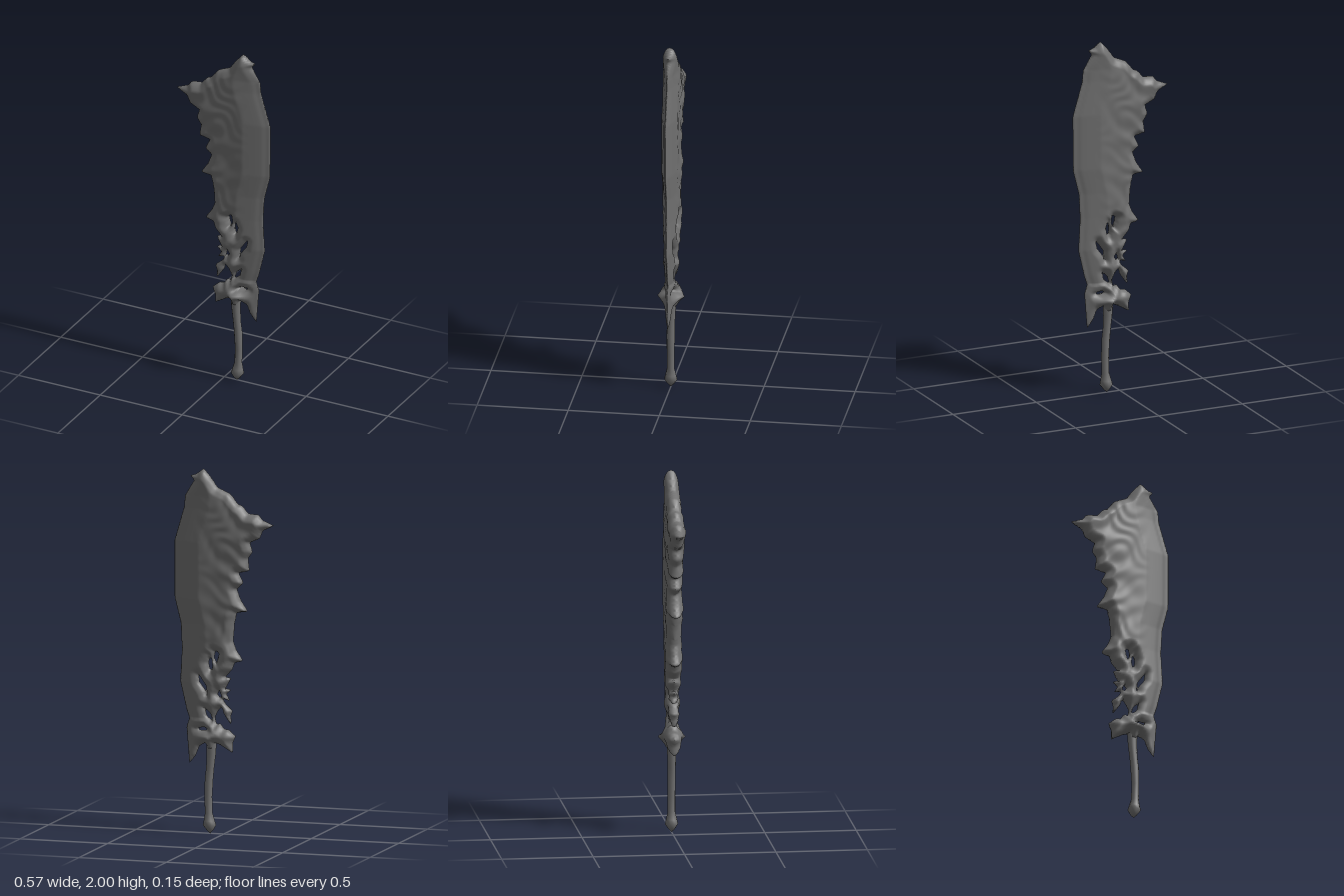
import * as THREE from 'three';
import { mergeVertices } from 'three/addons/utils/BufferGeometryUtils.js';

// Smooth cutting edge, from the tip down to the guard
const cuttingEdge = [[0.115, 2.005], [0.155, 1.975], [0.192, 1.962], [0.168, 1.94], [0.22, 1.855], [0.226, 1.79],
  [0.282, 1.6], [0.28, 1.29], [0.245, 1.15], [0.238, 1.01], [0.248, 0.83], [0.213, 0.68], [0.196, 0.63]];

// Guard with its hanging points, right to left
const guardEdge = [[0.212, 0.58], [0.204, 0.48], [0.196, 0.38], [0.16, 0.425], [0.138, 0.48], [0.1, 0.5], [0.09, 0.46],
  [0.055, 0.46], [0.045, 0.5], [0.01, 0.485], [-0.052, 0.448], [-0.05, 0.5], [-0.068, 0.54], [-0.03, 0.575],
  [0.0, 0.578], [0.02, 0.61], [0.04, 0.6], [0.05, 0.64], [0.03, 0.68], [0.01, 0.7]];

// Torn edge, from the guard up to the tip
const tornEdge = [[0.0, 0.665], [-0.045, 0.6], [-0.04, 0.65], [-0.052, 0.68], [-0.01, 0.715], [0.005, 0.745],
  [-0.035, 0.735], [-0.015, 0.77], [-0.048, 0.8], [-0.01, 0.8], [-0.042, 0.86], [-0.012, 0.865], [-0.05, 0.91],
  [-0.062, 0.945], [-0.112, 0.958], [-0.075, 1.01], [-0.055, 1.06], [-0.06, 1.15], [-0.075, 1.222], [-0.138, 1.23],
  [-0.098, 1.29], [-0.075, 1.35], [-0.112, 1.385], [-0.085, 1.44], [-0.148, 1.455], [-0.138, 1.52], [-0.165, 1.56],
  [-0.148, 1.61], [-0.205, 1.635], [-0.225, 1.68], [-0.288, 1.71], [-0.22, 1.738], [-0.2, 1.765], [-0.14, 1.77],
  [-0.105, 1.81], [-0.08, 1.82], [-0.035, 1.875], [0.035, 1.905], [0.07, 1.955]];

// Holes worn through the lower blade
const holes = [
  [[0.025, 0.995], [0.048, 1.008], [0.054, 0.965], [0.04, 0.94]],
  [[0.072, 0.98], [0.087, 0.94], [0.074, 0.89], [0.063, 0.92]],
  [[0.143, 0.872], [0.138, 0.83], [0.107, 0.79], [0.095, 0.76], [0.098, 0.81], [0.12, 0.84]],
  [[0.022, 0.79], [0.036, 0.77], [0.02, 0.745], [0.012, 0.76]],
  [[0.064, 0.62], [0.074, 0.66], [0.108, 0.692], [0.095, 0.645]],
  [[0.085, 0.57], [0.11, 0.585], [0.16, 0.572], [0.12, 0.565]],
];
const loops = [[...cuttingEdge, ...guardEdge, ...tornEdge], ...holes];

// Signed distance to the outline, positive inside
function distanceInside(x, y) {
  let inside = false, best = Infinity;
  for (const loop of loops) {
    for (let i = 0, j = loop.length - 1; i < loop.length; j = i++) {
      const [ax, ay] = loop[j], [bx, by] = loop[i];
      if ((ay > y) !== (by > y) && x < ax + (y - ay) / (by - ay) * (bx - ax)) inside = !inside;
      const dx = bx - ax, dy = by - ay;
      const t = Math.min(1, Math.max(0, ((x - ax) * dx + (y - ay) * dy) / (dx * dx + dy * dy)));
      best = Math.min(best, Math.hypot(x - ax - t * dx, y - ay - t * dy));
    }
  }
  return inside ? best : -best;
}

// Line the bevel runs to; it continues straight past the blunt tip
function bevelEdgeX(y) {
  for (let i = 5; i < cuttingEdge.length; i++) {
    const [ax, ay] = cuttingEdge[i - 1], [bx, by] = cuttingEdge[i];
    if (y >= by) return y > ay ? ax + 0.3 * (y - ay) : ax + (bx - ax) * (ay - y) / (ay - by);
  }
  return 0.22;
}

// Half thickness: blunt torn side, long bevel to the cutting edge, swelling at the guard
function halfThickness(x, y, d) {
  if (d <= 0) return 0;
  const rim = Math.pow(Math.min(1, d / 0.04), 0.45);
  const bevel = Math.pow(Math.min(1, Math.max(0.02, bevelEdgeX(y) - x) / 0.15), 0.7);
  const torn = Math.min(1, Math.max(0, (0.16 - x) / 0.2));
  const warp = 1.6 * Math.sin(9 * y + 14 * x) + 1.2 * Math.sin(17 * y - 25 * x);
  const ripple = torn * (0.0035 * Math.sin(27 * y - 16 * x + warp) + 0.002 * Math.sin(53 * y + 30 * x - 2 * warp));
  const guard = 0.036 * Math.exp(-(((x - 0.09) / 0.05) ** 2) - ((y - 0.532) / 0.045) ** 2);
  return rim * ((0.043 + ripple) * bevel + guard);
}

// Grid cells clipped to the outline, raised on both faces
function bladeGeometry() {
  const step = 0.009, x0 = -0.3, y0 = 0.37, nx = 66, ny = 183;
  const grid = [];
  for (let j = 0; j <= ny; j++) {
    for (let i = 0; i <= nx; i++) {
      const x = x0 + i * step, y = y0 + j * step, d = distanceInside(x, y);
      grid.push({ x, y, d, z: halfThickness(x, y, d) });
    }
  }
  const positions = [];
  const addTriangle = (a, b, c) => {
    for (const p of [a, b, c]) positions.push(p.x, p.y, p.z);
    for (const p of [a, c, b]) positions.push(p.x, p.y, -p.z);
  };
  for (let j = 0; j < ny; j++) {
    for (let i = 0; i < nx; i++) {
      const k = j * (nx + 1) + i;
      const cell = [grid[k], grid[k + 1], grid[k + nx + 2], grid[k + nx + 1]];
      const polygon = [];
      cell.forEach((a, n) => {
        const b = cell[(n + 1) % 4];
        if (a.d > 0) polygon.push(a);
        if ((a.d > 0) !== (b.d > 0)) {
          const t = a.d / (a.d - b.d);
          polygon.push({ x: a.x + t * (b.x - a.x), y: a.y + t * (b.y - a.y), z: 0 });
        }
      });
      for (let n = 2; n < polygon.length; n++) addTriangle(polygon[0], polygon[n - 1], polygon[n]);
    }
  }
  const geometry = new THREE.BufferGeometry();
  geometry.setAttribute('position', new THREE.Float32BufferAttribute(positions, 3));
  return smooth(geometry);
}

// Welds the vertices so the normals run smoothly over seams
function smooth(geometry) {
  geometry.deleteAttribute('uv');
  geometry.deleteAttribute('normal');
  const welded = mergeVertices(geometry, 1e-5);
  welded.computeVertexNormals();
  return welded;
}

// Slim bent grip ending in a pointed pommel
function handleGeometry() {
  const profile = [[0, 0], [0.018, 0.018], [0.036, 0.045], [0.03, 0.07], [0.021, 0.11], [0.021, 0.2], [0.023, 0.3],
    [0.022, 0.36], [0.025, 0.44], [0.028, 0.5], [0.03, 0.54], [0, 0.56]].map(([r, y]) => new THREE.Vector2(r, y));
  const geometry = new THREE.LatheGeometry(profile, 10);
  const p = geometry.attributes.position;
  for (let i = 0; i < p.count; i++) {
    const y = p.getY(i);
    const bend = 0.077 + 0.011 * Math.sin(Math.min(1, y / 0.4) * Math.PI) - 0.007 * THREE.MathUtils.smoothstep(y, 0.25, 0.5);
    p.setX(i, p.getX(i) + bend);
  }
  return smooth(geometry);
}

export function createModel() {
  const group = new THREE.Group();
  group.name = 'tornSword';
  const material = new THREE.MeshStandardMaterial({ color: 0x707070 });
  const add = (name, geometry) => {
    const mesh = new THREE.Mesh(geometry, material);
    mesh.name = name;
    group.add(mesh);
  };
  add('bladeAndGuard', bladeGeometry());
  add('handle', handleGeometry());
  return group;
}
